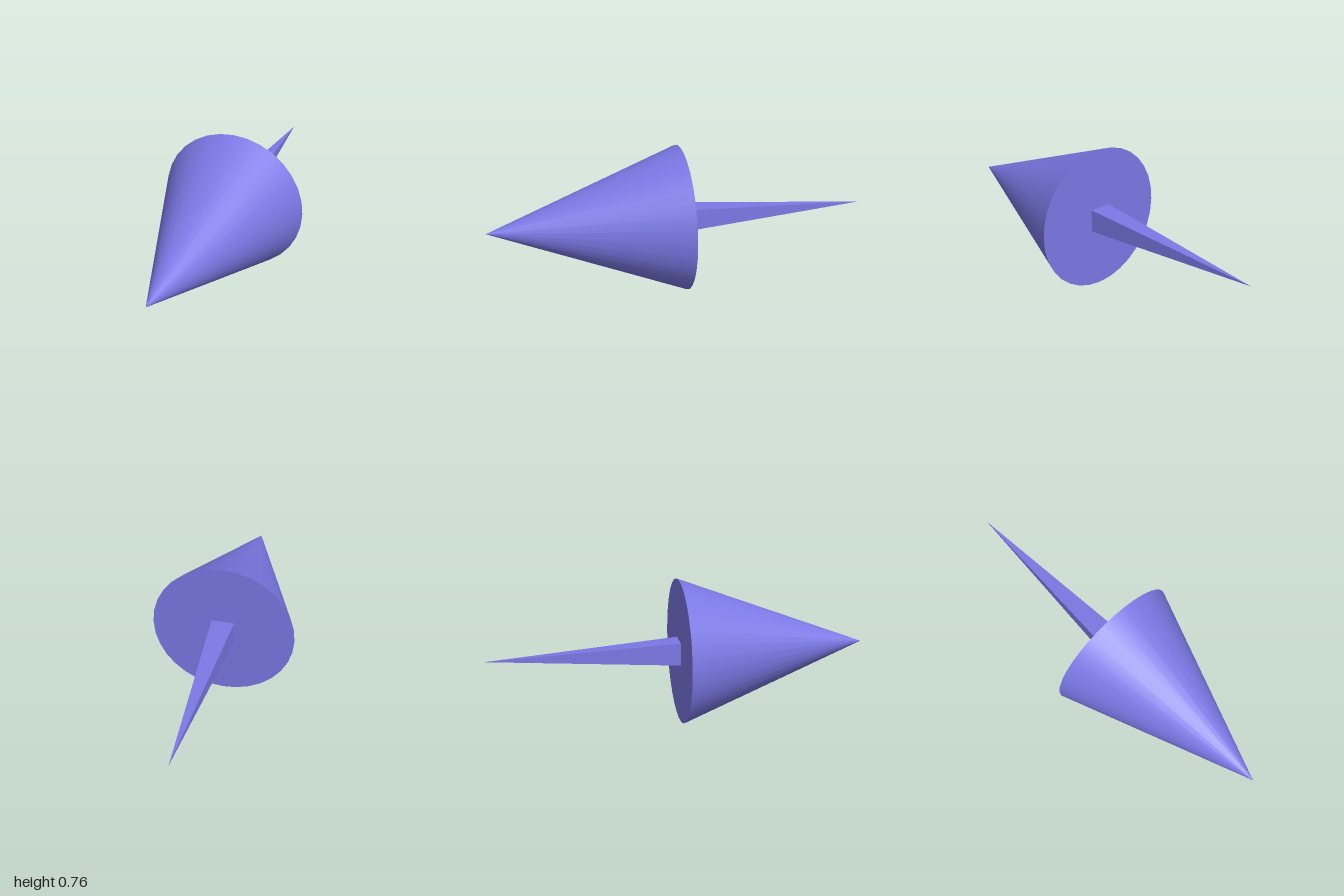
import * as THREE from 'three';

const RADIUS = 0.38;
const TAIL_HALF = 0.06;

export function createModel() {
  const group = new THREE.Group();
  group.name = 'dart';
  const violet = new THREE.MeshStandardMaterial({ color: 0x7a78e4 });
  violet.name = 'violet';

  const add = (name, geometry) => {
    const mesh = new THREE.Mesh(geometry, violet);
    mesh.name = name;
    mesh.position.y = RADIUS;
    group.add(mesh);
  };

  // Smooth round head, apex pointing forward
  add('head', new THREE.ConeGeometry(RADIUS, 1, 32)
    .translate(0, 0.5, 0)
    .rotateX(Math.PI / 2));

  // Square tapering tail with flat faces, apex pointing backward
  const tail = new THREE.ConeGeometry(TAIL_HALF * Math.SQRT2, 1, 4)
    .rotateY(Math.PI / 4)
    .translate(0, 0.5, 0)
    .rotateX(-Math.PI / 2)
    .toNonIndexed();
  tail.computeVertexNormals();
  add('tail', tail);

  return group;
}
